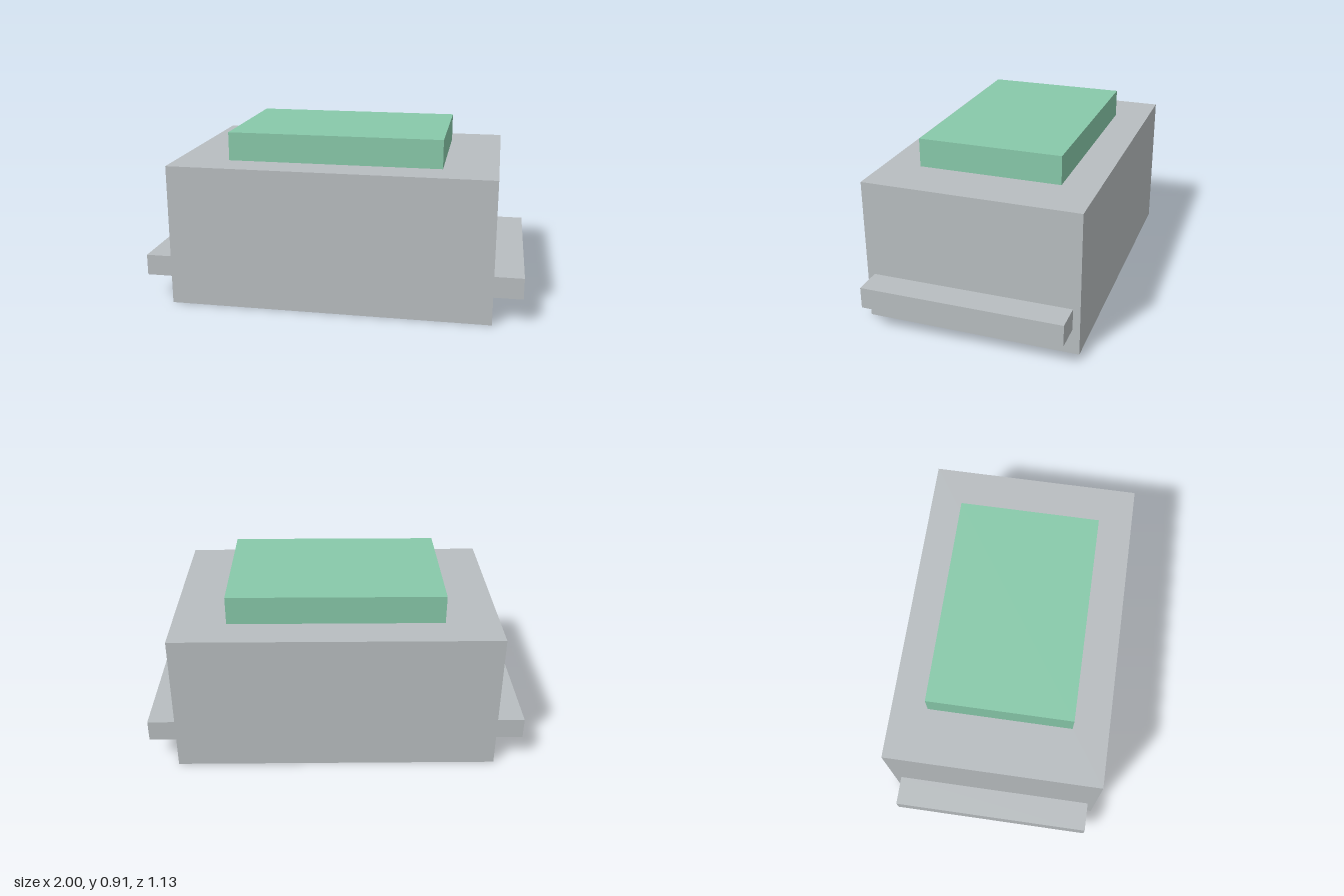
import * as THREE from 'three';

export function createModel() {
  const model = new THREE.Group();
  model.name = 'boxWithSideRails';

  const grey = new THREE.MeshStandardMaterial({ color: 0xb8bdc0 });
  grey.name = 'light grey';
  const green = new THREE.MeshStandardMaterial({ color: 0x88c9aa });
  green.name = 'soft green';

  // Box centred on x and z, with its underside at the given height
  function addBox(name, material, width, height, depth, bottom, x = 0) {
    const mesh = new THREE.Mesh(new THREE.BoxGeometry(width, height, depth), material);
    mesh.name = name;
    mesh.position.set(x, bottom + height / 2, 0);
    model.add(mesh);
  }

  // Main block and the raised panel on its top
  addBox('body', grey, 1.698, 0.755, 1.132, 0);
  addBox('topPanel', green, 1.132, 0.151, 0.755, 0.755);

  // Rails along both sides
  for (const side of [-1, 1]) {
    addBox(side > 0 ? 'leftRail' : 'rightRail', grey, 0.151, 0.112, 1.057, 0.136, side * 0.9245);
  }

  return model;
}
